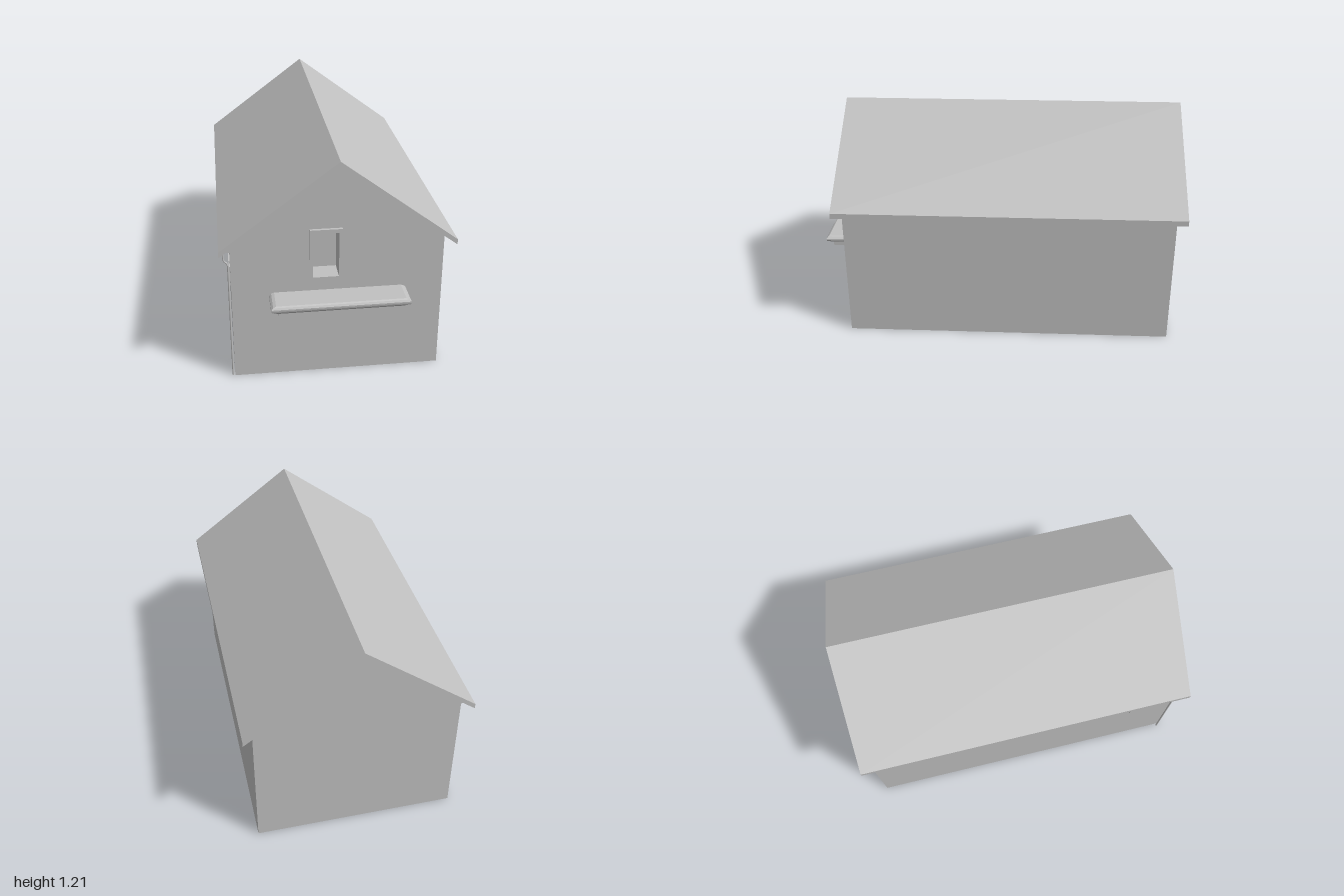
import * as THREE from 'three';

const plaster = new THREE.MeshStandardMaterial({ color: 0xc0c0c0 });
plaster.name = 'light grey';

const HALF = 0.545, RIDGE = 1.18, SLOPE = 0.742;
const under = x => RIDGE - SLOPE * Math.abs(x);

function outline(points) {
  return new THREE.Shape(points.map(p => new THREE.Vector2(...p)));
}

function rectangle(x0, y0, x1, y1) {
  return [[x0, y0], [x0, y1], [x1, y1], [x1, y0]];
}

// Extrude a front profile between two z positions
function slab(name, shape, z0, z1) {
  const g = new THREE.ExtrudeGeometry(shape, { depth: z1 - z0, bevelEnabled: false, curveSegments: 12 });
  g.translate(0, 0, z0);
  const m = new THREE.Mesh(g, plaster);
  m.name = name;
  return m;
}

function box(name, x0, x1, y0, y1, z0, z1) {
  const g = new THREE.BoxGeometry(x1 - x0, y1 - y0, z1 - z0);
  g.translate((x0 + x1) / 2, (y0 + y1) / 2, (z0 + z1) / 2);
  const m = new THREE.Mesh(g, plaster);
  m.name = name;
  return m;
}

// Gable cross-section, with an optional notch in the -x wall
function gable(notch = []) {
  return outline([[HALF, 0], [HALF, under(HALF)], [0, RIDGE], [-HALF, under(HALF)], ...notch, [-HALF, 0]]);
}

function frame(outer, inner) {
  const s = outline(outer);
  s.holes.push(outline(inner));
  return s;
}

// Shelf board with rounded edges, lofted from rectangles
function shelfGeometry() {
  const rings = [[0.442, 0.037, 0.025], [0.462, 0.005, 0.002], [0.47, 0, 0], [0.478, 0.001, 0], [0.487, 0.011, 0.006], [0.492, 0.026, 0.014]];
  const loops = rings.map(([y, dx, dz]) => {
    const w = 0.355 - dx, z = 1 - dz;
    return [[-w, y, 0.84], [-w, y, z], [w, y, z], [w, y, 0.84]];
  });
  const pos = [];
  const quad = (a, b, c, d) => pos.push(...a, ...b, ...c, ...a, ...c, ...d);
  for (let i = 0; i < loops.length - 1; i++) {
    for (let k = 0; k < 4; k++) {
      const n = (k + 1) % 4;
      quad(loops[i][k], loops[i][n], loops[i + 1][n], loops[i + 1][k]);
    }
  }
  quad(...loops[loops.length - 1]);
  quad(...[...loops[0]].reverse());
  const g = new THREE.BufferGeometry();
  g.setAttribute('position', new THREE.Float32BufferAttribute(pos, 3));
  g.computeVertexNormals();
  return g;
}

export function createModel() {
  const house = new THREE.Group();
  house.name = 'house';

  // Body in three slices: plain rear, side-window slice, front with window recess
  const notch = [[-HALF, 0.585], [-HALF + 0.1, 0.585], [-HALF + 0.1, 0.505], [-HALF, 0.505]];
  const opening = rectangle(-0.13, 0.565, 0.005, 0.82);
  const front = gable();
  front.holes.push(outline(opening));
  house.add(
    slab('rearWalls', gable(), -0.95, 0.605),
    slab('sideWindowWalls', gable(notch), 0.605, 0.735),
    slab('frontWalls', front, 0.735, 0.85)
  );

  // Pitched roof
  house.add(slab('roof', outline([
    [0.6, 0.735], [0.6, 0.764], [0, 1.212], [-0.6, 0.764], [-0.6, 0.735], [0, RIDGE]
  ]), -1, 0.9));

  // Window surrounds
  house.add(slab('frontWindowFrame', frame(rectangle(-0.145, 0.55, 0.02, 0.84), opening), 0.85, 0.866));
  const side = slab('sideWindowFrame', frame(
    rectangle(0.59, 0.49, 0.75, 0.6), rectangle(0.605, 0.505, 0.735, 0.585)), 0, 0.007);
  side.rotation.y = -Math.PI / 2;
  side.position.x = -HALF;
  house.add(side);

  // Shelf under the front window
  const shelf = new THREE.Mesh(shelfGeometry(), plaster);
  shelf.name = 'shelf';
  house.add(shelf, box('shelfSupport', -0.317, 0.317, 0.42, 0.443, 0.84, 0.97));

  // Gutter and downpipe on the -x eave
  house.add(box('gutter', -0.58, -HALF, 0.735, 0.757, -0.95, 0.85));
  const path = new THREE.CatmullRomCurve3([
    [-0.578, 0.745], [-0.578, 0.70], [-0.574, 0.683], [-0.562, 0.672], [-0.556, 0.655], [-0.555, 0.63]
  ].map(([x, y]) => new THREE.Vector3(x, y, 0.84)));
  const bend = new THREE.Mesh(new THREE.TubeGeometry(path, 24, 0.004, 8), plaster);
  bend.name = 'downpipeBend';
  const pipe = new THREE.Mesh(new THREE.CylinderGeometry(0.005, 0.005, 0.66, 12), plaster);
  pipe.name = 'downpipe';
  pipe.position.set(-0.555, 0.33, 0.84);
  house.add(bend, pipe);

  return house;
}
